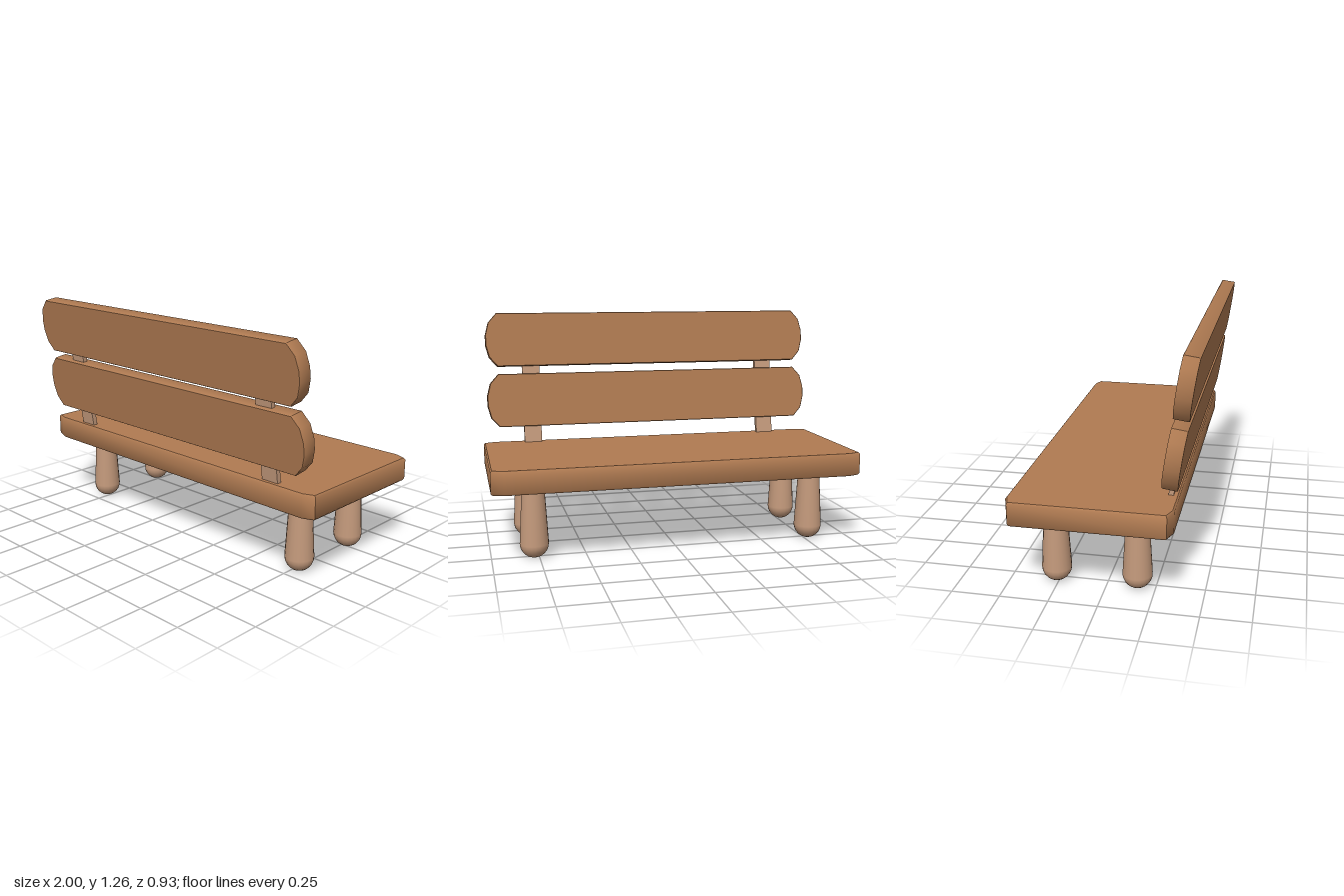
import * as THREE from 'three';
import { toCreasedNormals } from 'three/addons/utils/BufferGeometryUtils.js';

const plankWood = new THREE.MeshStandardMaterial({ color: 0xb07b52 });
const paleWood = new THREE.MeshStandardMaterial({ color: 0xc49a7c });

// Board centred on the origin; corner lists the points of its +x, +y quarter.
function board(corner, thickness, bevelSize, bevelThickness) {
  const back = [...corner].reverse();
  const outline = [
    ...corner,
    ...back.map(([x, y]) => [-x, y]),
    ...corner.map(([x, y]) => [-x, -y]),
    ...back.map(([x, y]) => [x, -y]),
  ].map(([x, y]) => new THREE.Vector2(x, y));
  const depth = thickness - 2 * bevelThickness;
  const geometry = new THREE.ExtrudeGeometry(new THREE.Shape(outline), {
    depth, bevelEnabled: true, bevelSegments: 1,
    bevelSize, bevelThickness, bevelOffset: -bevelSize,
  });
  geometry.translate(0, 0, -depth / 2);
  return toCreasedNormals(geometry, THREE.MathUtils.degToRad(45));
}

function add(parent, name, geometry, material, x, y, z) {
  const mesh = new THREE.Mesh(geometry, material);
  mesh.name = name;
  mesh.position.set(x, y, z);
  parent.add(mesh);
  return mesh;
}

export function createModel() {
  const bench = new THREE.Group();
  bench.name = 'bench';

  // Seat slab with clipped corners
  const seatShape = board([[1, 0.388], [0.935, 0.413]], 0.126, 0.008, 0.01);
  seatShape.rotateX(-Math.PI / 2);
  add(bench, 'seat', seatShape, plankWood, 0, 0.452, -0.052);

  // Tapered legs with rounded feet
  const profile = [];
  for (let i = 0; i <= 6; i++) {
    const a = (i / 6) * Math.PI / 2;
    profile.push(new THREE.Vector2(0.077 * Math.sin(a), 0.077 * (1 - Math.cos(a))));
  }
  profile.push(new THREE.Vector2(0.058, 0.41));
  const legShape = new THREE.LatheGeometry(profile, 20);
  for (const x of [-0.775, 0.775]) {
    for (const z of [0.157, -0.263]) {
      add(bench, (x > 0 ? 'left' : 'right') + (z > 0 ? 'FrontLeg' : 'BackLeg'),
        legShape, paleWood, x, 0, z);
    }
  }

  // Leaning backrest, pivoting about the centre of the lower plank
  const backrest = new THREE.Group();
  backrest.name = 'backrest';
  backrest.position.set(0, 0.757, 0.354);
  backrest.rotation.x = 0.14;
  bench.add(backrest);

  const plankShape = board([[0.97, 0.03], [0.952, 0.1], [0.905, 0.153]], 0.08, 0.003, 0.004);
  add(backrest, 'lowerBackPlank', plankShape, plankWood, 0, 0, 0);
  add(backrest, 'upperBackPlank', plankShape, plankWood, 0, 0.351, 0);

  // Flat supports running from the seat into the upper plank
  const supportShape = new THREE.BoxGeometry(0.1, 0.72, 0.026);
  for (const x of [-0.715, 0.715]) {
    add(backrest, x > 0 ? 'leftSupport' : 'rightSupport', supportShape, paleWood, x, 0.07, 0);
  }
  return bench;
}
